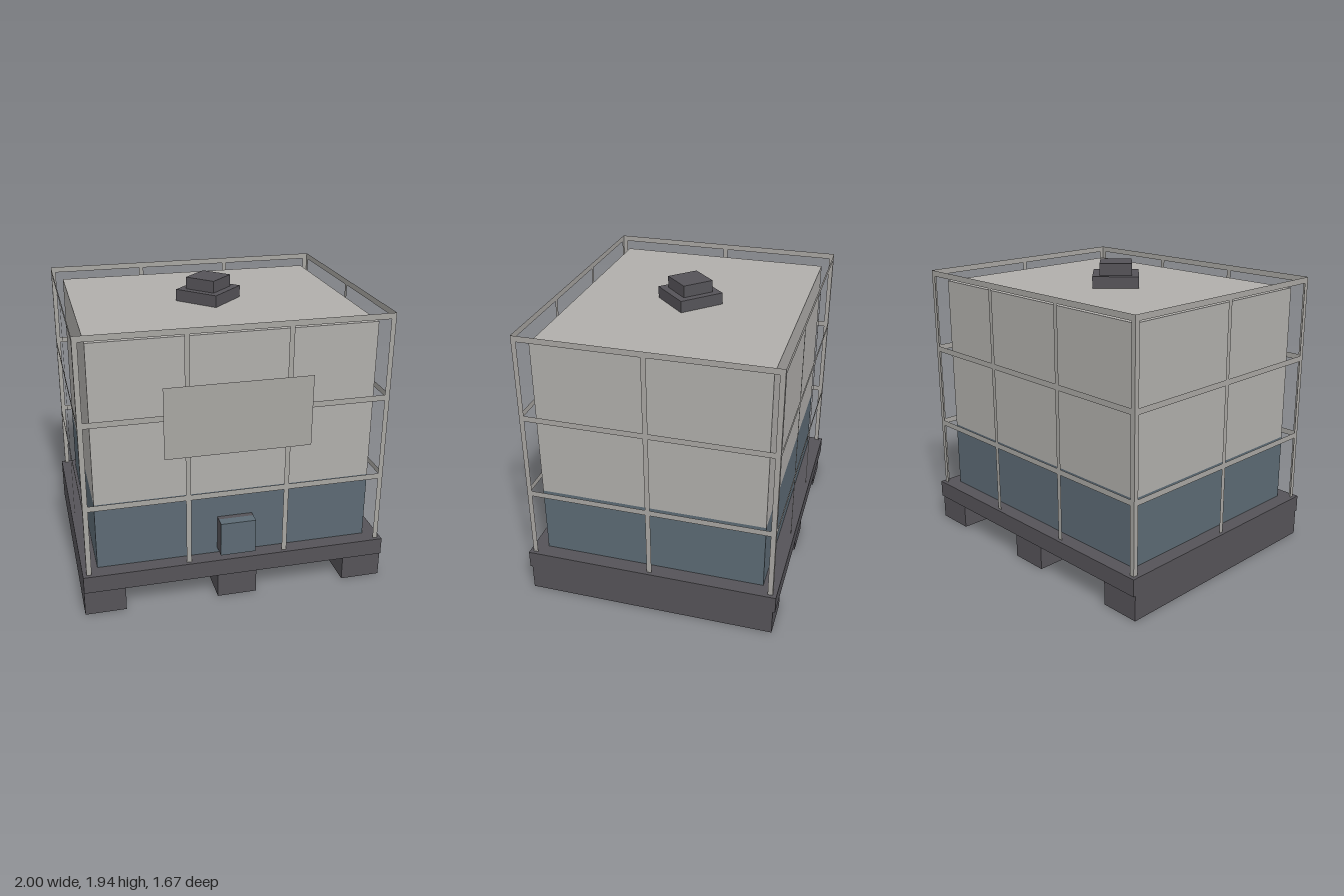
import * as THREE from 'three';

function material(name, color, side = THREE.FrontSide) {
  const m = new THREE.MeshStandardMaterial({ color, side });
  m.name = name;
  return m;
}

export function createModel() {
  const model = new THREE.Group();
  model.name = 'liquidContainer';

  const plastic = material('pale plastic', 0xb0aeab);
  const liquid = material('slate blue', 0x5c6a74);
  const dark = material('dark grey', 0x555358);
  const steel = material('steel', 0xa8a6a2, THREE.DoubleSide);

  const add = (parent, name, geometry, mat) => {
    const mesh = new THREE.Mesh(geometry, mat);
    mesh.name = name;
    parent.add(mesh);
    return mesh;
  };
  // Box given by its limits on each axis
  const box = (name, [x0, x1], [y0, y1], [z0, z1], mat) => {
    const mesh = add(model, name, new THREE.BoxGeometry(x1 - x0, y1 - y0, z1 - z0), mat);
    mesh.position.set((x0 + x1) / 2, (y0 + y1) / 2, (z0 + z1) / 2);
    return mesh;
  };

  // Pallet: deck on three runners
  const deckTop = 0.285;
  box('palletDeck', [-1, 1], [0.17, deckTop], [-0.835, 0.835], dark);
  for (const [x0, x1] of [[-1, -0.735], [-0.13, 0.13], [0.735, 1]]) {
    box('palletRunner', [x0, x1], [0, 0.17], [-0.82, 0.82], dark);
  }

  // Tank: filled lower part and empty upper part
  box('tankLower', [-0.9, 0.9], [deckTop, 0.735], [-0.735, 0.735], liquid);
  box('tankUpper', [-0.9, 0.9], [0.735, 1.785], [-0.735, 0.735], plastic);

  // Four-sided filler neck and cap
  const cap = (name, radius, y0, y1) => {
    const geo = new THREE.CylinderGeometry(radius, radius, y1 - y0, 4).toNonIndexed();
    geo.computeVertexNormals();
    add(model, name, geo, dark).position.y = (y0 + y1) / 2;
  };
  cap('fillerNeck', 0.217, 1.785, 1.862);
  cap('fillerCap', 0.15, 1.862, 1.94);

  // Outlet valve: dark block with a blue front and top
  box('valveBase', [-0.115, 0.115], [0.32, 0.55], [0.735, 0.77], dark);
  box('valve', [-0.115, 0.115], [0.32, 0.55], [0.77, 0.835],
    [dark, dark, liquid, dark, liquid, dark]);

  // Cage: flat open strips, one panel for each side
  const strip = 0.032;
  const cageTop = 1.857;
  const cagePanel = (name, halfWidth, distance, innerPosts, angle) => {
    const panel = new THREE.Group();
    panel.name = name;
    const edge = halfWidth - strip / 2;
    for (const x of [-edge, ...innerPosts, edge]) {
      add(panel, 'cagePost', new THREE.PlaneGeometry(strip, cageTop - deckTop), steel)
        .position.set(x, (cageTop + deckTop) / 2, distance);
    }
    for (const y of [0.754, 1.306, 1.838]) {
      add(panel, 'cageRail', new THREE.PlaneGeometry(halfWidth * 2, 0.038), steel)
        .position.set(0, y, distance);
    }
    panel.rotation.y = angle;
    model.add(panel);
  };
  const cageX = 0.976, cageZ = 0.81;
  cagePanel('cageFront', cageX, cageZ, [-0.318, 0.318], 0);
  cagePanel('cageBack', cageX, cageZ, [-0.318, 0.318], Math.PI);
  cagePanel('cageLeft', cageZ, cageX, [0], Math.PI / 2);
  cagePanel('cageRight', cageZ, cageX, [0], -Math.PI / 2);

  // Blank sign plate on the front of the cage
  add(model, 'signPlate', new THREE.PlaneGeometry(0.935, 0.465), steel)
    .position.set(0, 1.27, 0.818);

  return model;
}
